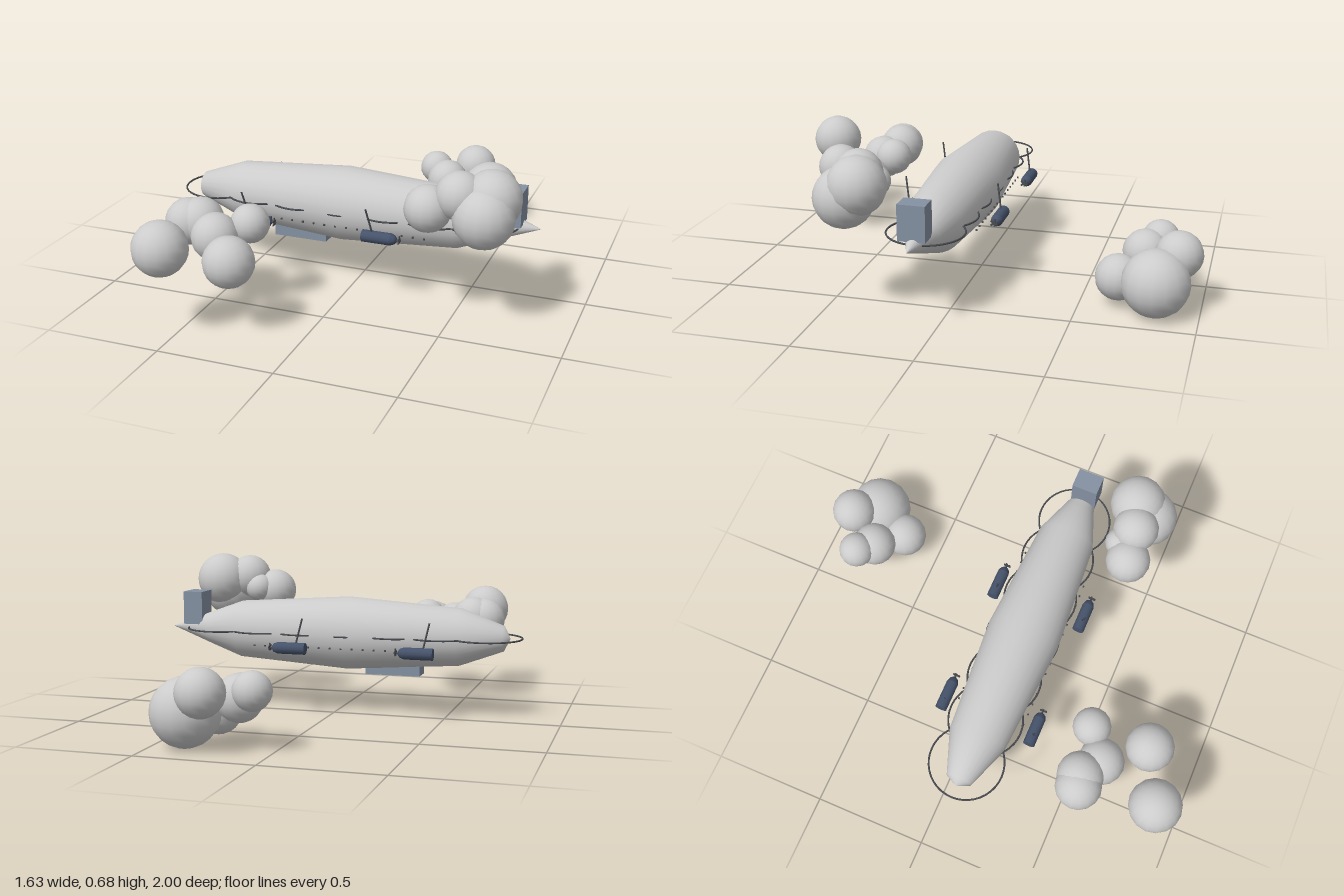
import * as THREE from 'three';

const AXIS_Y = 0.354, AXIS_Z = 0.083, MID_X = -0.05;

const grey = new THREE.MeshStandardMaterial({ color: 0xcccccc });
const steel = new THREE.MeshStandardMaterial({ color: 0x8592a3 });
const navy = new THREE.MeshStandardMaterial({ color: 0x46536b });
const dark = new THREE.MeshStandardMaterial({ color: 0x4a4d52 });

function add(parent, name, geometry, material, x = 0, y = 0, z = 0) {
  const mesh = new THREE.Mesh(geometry, material);
  mesh.name = name;
  mesh.position.set(x, y, z);
  parent.add(mesh);
  return mesh;
}

// Surface of revolution along x from [x, radius] pairs
function latheX(points, sides) {
  const g = new THREE.LatheGeometry(points.map(([x, r]) => new THREE.Vector2(r, x)), sides);
  return g.rotateZ(-Math.PI / 2);
}

// Engine pod with rounded tail, propeller and leaning strut
function engine(x, z) {
  const g = new THREE.Group();
  g.name = 'enginePod';
  g.position.set(x, 0.303, z);
  add(g, 'engineBody', latheX([[-0.076, 0], [-0.076, 0.026], [-0.076, 0.026], [0.05, 0.026],
    [0.05, 0.026], [0.068, 0.019], [0.076, 0.008], [0.076, 0]], 12), navy);
  add(g, 'propellerShaft', new THREE.CylinderGeometry(0.004, 0.004, 0.02, 6).rotateZ(Math.PI / 2), dark, 0.084);
  for (let i = 0; i < 3; i++) {
    const blade = add(g, 'propellerBlade', new THREE.BoxGeometry(0.004, 0.034, 0.007).translate(0, 0.003, 0), dark, 0.088);
    blade.rotation.x = i * Math.PI / 3;
  }
  // strut
  const from = new THREE.Vector3(0, 0, 0), to = new THREE.Vector3(-0.055, 0.13, 0.022);
  add(g, 'engineStrut', new THREE.TubeGeometry(new THREE.LineCurve3(from.set(-0.03, 0.01, 0), to), 1, 0.004, 6), dark);
  return g;
}

// Cloud made of overlapping puffs [x, y, z, radius]
function cloud(name, puffs) {
  const g = new THREE.Group();
  g.name = name;
  for (const [x, y, z, r] of puffs) add(g, 'cloudPuff', new THREE.SphereGeometry(r, 16, 12), grey, x, y, z);
  return g;
}

export function createModel() {
  const model = new THREE.Group();
  model.name = 'airshipAmongClouds';

  // Hull and pointed tail
  add(model, 'hull', latheX([[-0.77, 0], [-0.742, 0.056], [-0.55, 0.127], [MID_X, 0.163],
    [0.46, 0.129], [0.61, 0.075]], 24), grey, 0, AXIS_Y, AXIS_Z);
  add(model, 'tailCone', latheX([[0.61, 0.075], [0.81, 0]], 24), grey, 0, AXIS_Y, AXIS_Z);

  // Level rings spaced along the hull
  for (let i = -3; i <= 3; i++) {
    add(model, 'hullRing', new THREE.TorusGeometry(0.161, 0.004, 6, 40).rotateX(Math.PI / 2), dark,
      MID_X + i * 0.2033, AXIS_Y, AXIS_Z);
  }

  // Tail fin and gondola
  add(model, 'tailFin', new THREE.BoxGeometry(0.09, 0.15, 0.115), steel, 0.69, 0.446, 0.088);
  add(model, 'gondola', new THREE.BoxGeometry(0.245, 0.06, 0.092), steel, -0.256, 0.206, 0.09);

  // Rows of small windows on both flanks
  for (const side of [-1, 1]) {
    for (let i = 0; i < 16; i++) {
      add(model, 'window', new THREE.BoxGeometry(0.007, 0.007, 0.007), dark,
        -0.4 + i * 0.05, 0.301, AXIS_Z + side * 0.153);
    }
  }

  // Two engines on each side
  for (const x of [-0.397, 0.171]) for (const z of [-0.124, 0.29]) model.add(engine(x, z));

  model.add(cloud('frontCloud', [
    [-0.527, 0.39, 0.882, 0.114], [-0.285, 0.325, 0.775, 0.106], [-0.314, 0.385, 0.515, 0.083],
    [-0.43, 0.345, 0.605, 0.101], [-0.525, 0.38, 0.547, 0.101], [-0.573, 0.375, 0.557, 0.1]]));
  model.add(cloud('tailCloud', [
    [0.41, 0.505, 0.387, 0.098], [0.535, 0.57, 0.37, 0.1], [0.658, 0.557, 0.335, 0.122],
    [0.642, 0.5, 0.395, 0.127], [0.47, 0.52, 0.325, 0.065]]));
  model.add(cloud('rearCloud', [
    [0.357, 0.145, -0.82, 0.142], [0.26, 0.24, -0.9, 0.1], [0.085, 0.24, -0.805, 0.08],
    [0.157, 0.2, -0.752, 0.098], [0.283, 0.127, -0.658, 0.098]]));

  return model;
}
